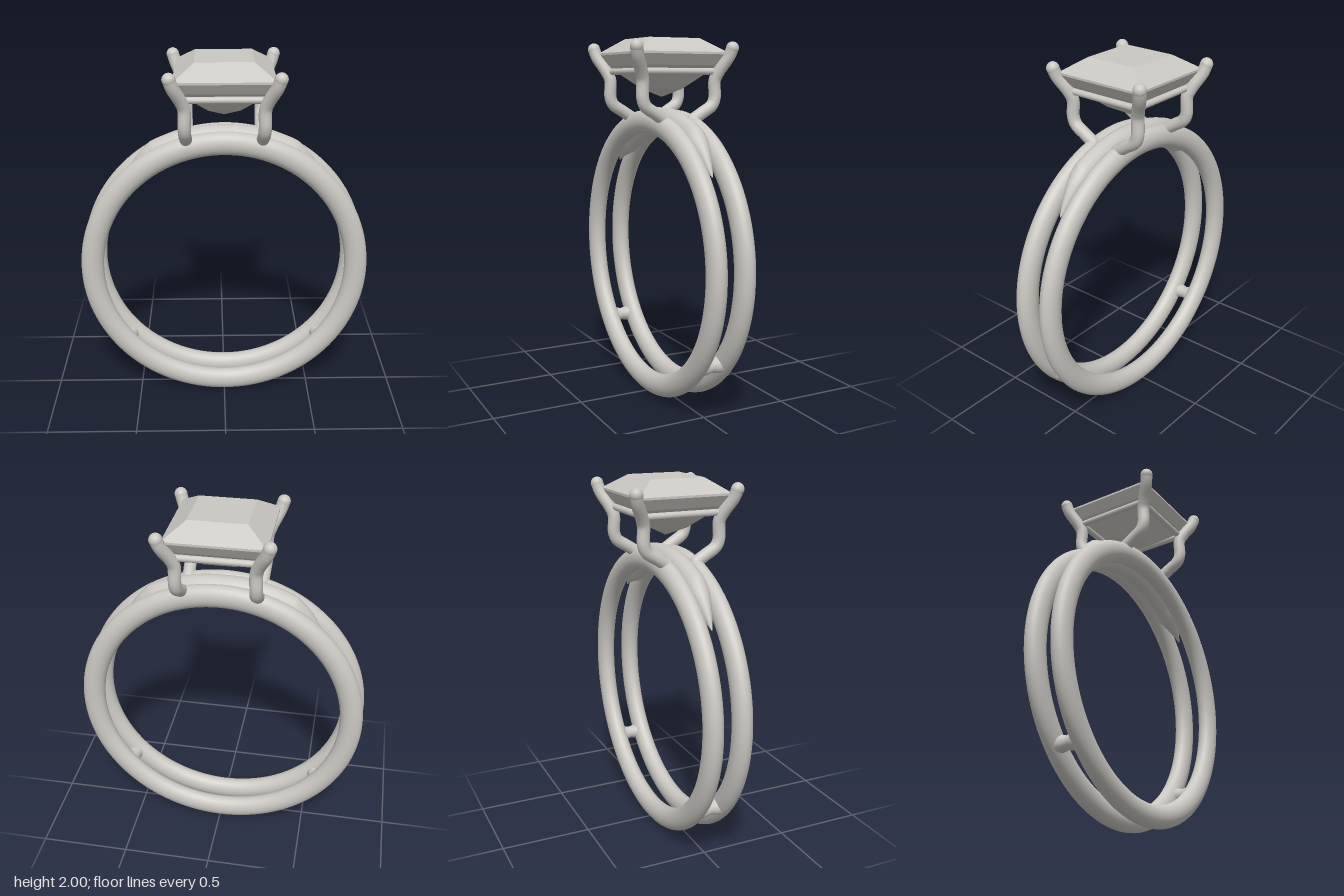
import * as THREE from 'three';

const metal = new THREE.MeshStandardMaterial({ color: 0xcac7c2 });
metal.name = 'pale grey';

const RING_Y = 0.807;

// Linear interpolation through [x, y] pairs
function ramp(pairs, x) {
  for (let i = 1; i < pairs.length; i++) {
    const [x0, y0] = pairs[i - 1], [x1, y1] = pairs[i];
    if (x <= x1) return y0 + (y1 - y0) * (x - x0) / (x1 - x0);
  }
  return pairs[pairs.length - 1][1];
}

// Tapered, pointed arc that fills the gap between the two bands
function bridgeGeometry() {
  const outer = [[0, 0.82], [29, 0.832], [36, 0.807], [49, 0.742]];
  const inner = [[0, 0.66], [35, 0.664], [49, 0.738]];
  const width = [[0, 0.066], [33, 0.062], [49, 0.003]];
  const g = new THREE.CylinderGeometry(1, 1, 2, 24, 98);
  const p = g.attributes.position;
  for (let i = 0; i < p.count; i++) {
    const deg = -p.getY(i) * 49, d = Math.abs(deg);
    const ro = ramp(outer, d), ri = ramp(inner, d);
    const r = (ro + ri) / 2 + p.getX(i) * (ro - ri) / 2;
    const a = THREE.MathUtils.degToRad(deg);
    p.setXYZ(i, r * Math.sin(a), RING_Y + r * Math.cos(a), p.getZ(i) * ramp(width, d));
  }
  g.computeVertexNormals();
  return g;
}

// Step-cut square stone: [half width, height] tiers
function gemGeometry() {
  const tiers = [[0, 1.685], [0.085, 1.73], [0.17, 1.805], [0.225, 1.855], [0.262, 1.912],
    [0.262, 1.924], [0.152, 2], [0, 2]];
  const pts = tiers.map(([w, y]) => new THREE.Vector2(w * Math.SQRT2, y));
  const g = new THREE.LatheGeometry(pts, 4, Math.PI / 4).toNonIndexed();
  g.computeVertexNormals();
  return g;
}

export function createModel() {
  const model = new THREE.Group();
  model.name = 'ring';
  const add = (parent, geometry, name, x = 0, y = 0, z = 0) => {
    const mesh = new THREE.Mesh(geometry, metal);
    mesh.name = name;
    mesh.position.set(x, y, z);
    parent.add(mesh);
    return mesh;
  };

  // Two parallel bands with an oval section
  const bandGeo = new THREE.TorusGeometry(0.7435, 0.0635, 28, 128);
  add(model, bandGeo, 'frontBand', 0, RING_Y, 0.082).scale.z = 0.8;
  add(model, bandGeo, 'backBand', 0, RING_Y, -0.082).scale.z = 0.8;

  add(model, bridgeGeometry(), 'shoulderBridge');

  // Small flared pins tying the bands together low on each side
  const pinGeo = new THREE.LatheGeometry(
    [[0.046, -0.06], [0.043, -0.03], [0.036, 0], [0.043, 0.03], [0.046, 0.06]]
      .map(([r, y]) => new THREE.Vector2(r, y)), 20);
  pinGeo.rotateX(Math.PI / 2);
  for (const s of [1, -1]) add(model, pinGeo, s > 0 ? 'leftPin' : 'rightPin', s * 0.56, 0.305, 0);

  // Four bent prongs with rounded ends
  const path = [[0.202, 1.565, 0.085], [0.204, 1.6, 0.14], [0.206, 1.64, 0.2], [0.207, 1.68, 0.217],
    [0.207, 1.775, 0.217], [0.222, 1.82, 0.232], [0.262, 1.9, 0.272], [0.277, 1.945, 0.284]];
  const R = 0.034;
  for (const sx of [1, -1]) for (const sz of [1, -1]) {
    const prong = new THREE.Group();
    prong.name = (sz > 0 ? 'front' : 'back') + (sx > 0 ? 'Left' : 'Right') + 'Prong';
    const pts = path.map(([x, y, z]) => new THREE.Vector3(sx * x, y, sz * z));
    const curve = new THREE.CatmullRomCurve3(pts, false, 'centripetal');
    add(prong, new THREE.TubeGeometry(curve, 40, R, 16), 'prongStem');
    for (const [end, name] of [[pts[0], 'prongFoot'], [pts[pts.length - 1], 'prongTip']])
      add(prong, new THREE.SphereGeometry(R * 1.03, 18, 12), name, end.x, end.y, end.z);
    model.add(prong);
  }

  // Square rail joining the prongs beneath the stone
  const railGeo = new THREE.CylinderGeometry(0.018, 0.018, 0.43, 14);
  railGeo.rotateZ(Math.PI / 2);
  for (let i = 0; i < 4; i++) {
    const a = i * Math.PI / 2;
    add(model, railGeo, 'galleryRail', 0.214 * Math.sin(a), 1.822, 0.214 * Math.cos(a)).rotation.y = a;
  }

  add(model, gemGeometry(), 'stone');

  model.children.forEach((c) => { c.position.z -= 0.006; });
  return model;
}
